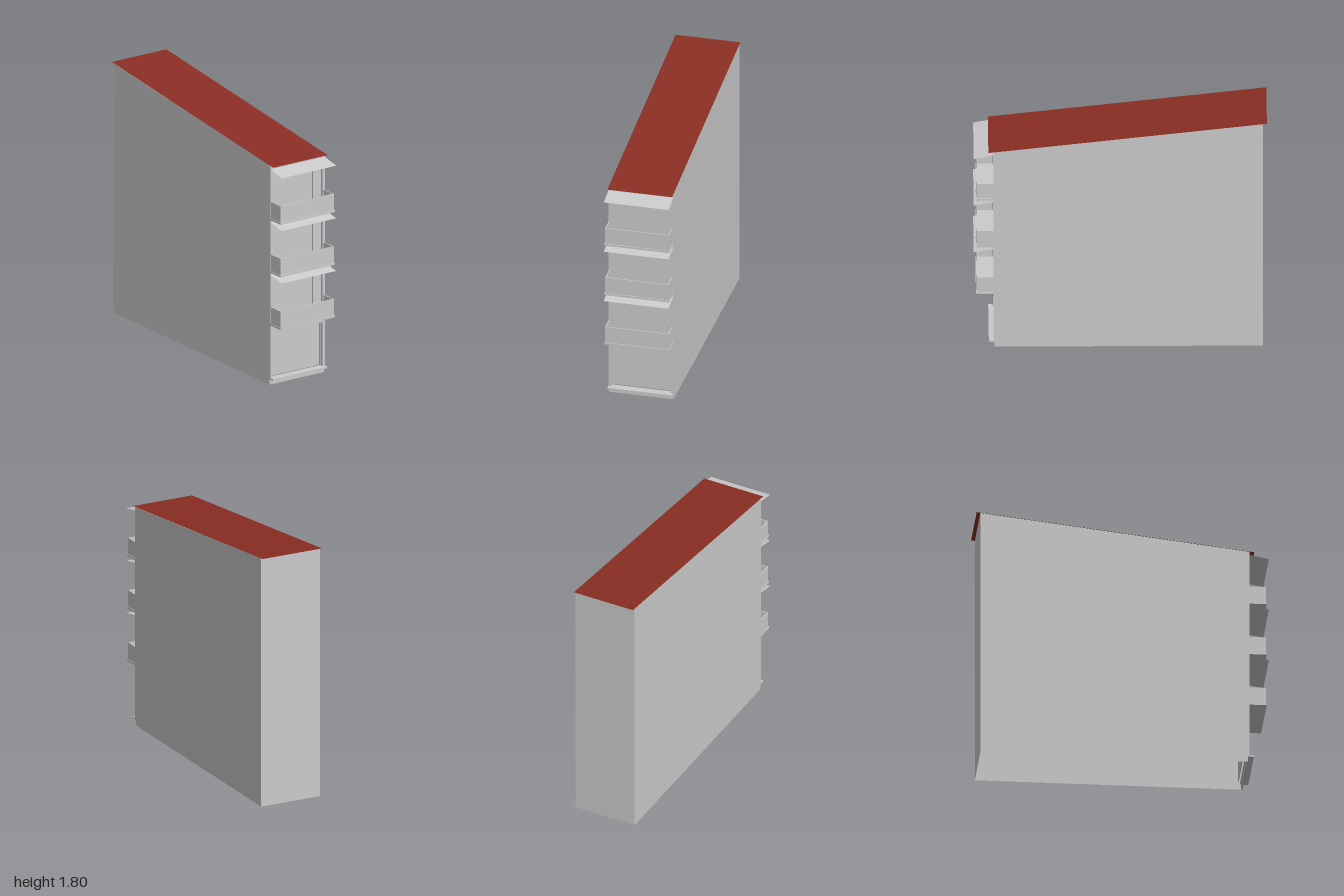
import * as THREE from 'three';

const W = 0.228;                 // half width
const FRONT = 0.866, BACK = -0.975;
const roofY = z => 1.58 + (FRONT - z) * 0.1195;

const grey = new THREE.MeshStandardMaterial({ color: 0xcccccc, flatShading: true, side: THREE.DoubleSide });
const red = new THREE.MeshStandardMaterial({ color: 0x8b2e24, flatShading: true, side: THREE.DoubleSide });

function add(parent, name, geometry, material = grey) {
  const mesh = new THREE.Mesh(geometry, material);
  mesh.name = name;
  parent.add(mesh);
  return mesh;
}

// Box given by its limits
function box(parent, name, x0, x1, y0, y1, z0, z1) {
  const mesh = add(parent, name, new THREE.BoxGeometry(x1 - x0, y1 - y0, z1 - z0));
  mesh.position.set((x0 + x1) / 2, (y0 + y1) / 2, (z0 + z1) / 2);
  return mesh;
}

// Thin sheet across the full width, from a back edge to a front edge
function sheet(parent, name, yBack, zBack, yFront, zFront, material) {
  const g = new THREE.PlaneGeometry(2 * W, 1);
  const p = g.attributes.position;
  for (let i = 0; i < 4; i++) {
    const back = p.getY(i) > 0;
    p.setY(i, back ? yBack : yFront);
    p.setZ(i, back ? zBack : zFront);
  }
  g.computeVertexNormals();
  return add(parent, name, g, material);
}

function rectPath(path, x0, x1, y0, y1) {
  path.moveTo(x0, y0);
  path.lineTo(x1, y0);
  path.lineTo(x1, y1);
  path.lineTo(x0, y1);
  path.closePath();
  return path;
}

export function createModel() {
  const house = new THREE.Group();
  house.name = 'townhouse';

  // Side walls with the sloping top, open underneath
  const side = new THREE.Shape();
  side.moveTo(-0.857, 0);
  side.lineTo(-BACK, 0);
  side.lineTo(-BACK, roofY(BACK));
  side.lineTo(-0.857, roofY(0.857));
  side.closePath();
  for (const s of [-1, 1]) {
    const wall = add(house, s > 0 ? 'leftWall' : 'rightWall', new THREE.ShapeGeometry(side));
    wall.rotation.y = Math.PI / 2;
    wall.position.x = s * W;
  }
  sheet(house, 'backWall', roofY(BACK), BACK, 0, BACK);

  // Single-pitch roof, overhanging at the front and back
  sheet(house, 'roof', roofY(-1) + 0.002, -1, roofY(0.9) + 0.002, 0.9, red);

  // Recessed front wall with openings for the garage and the doors
  const floors = [0.43, 0.81, 1.19];
  const face = rectPath(new THREE.Shape(), -W, W, 0.04, 1.58);
  face.holes.push(rectPath(new THREE.Path(), -0.205, 0.205, 0.05, 0.36));
  for (const y of floors)
    face.holes.push(rectPath(new THREE.Path(), -0.142, 0.142, y + 0.02, y + 0.315));
  const facade = add(house, 'frontWall', new THREE.ExtrudeGeometry(face, { depth: 0.01, bevelEnabled: false }));
  facade.position.z = 0.84;

  // Front frame: base, sill, corner posts and top beam
  box(house, 'base', -W, W, 0, 0.04, 0.847, 0.857);
  box(house, 'sill', -W, W, 0.038, 0.05, 0.84, 0.897);
  for (const s of [-1, 1])
    box(house, 'cornerPost', s * 0.218 - 0.01, s * 0.218 + 0.01, 0.05, 1.58, 0.84, FRONT);
  box(house, 'topBeam', -W, W, 1.55, 1.58, 0.84, FRONT);
  box(house, 'garageBeam', -W, W, 0.367, 0.43, 0.84, FRONT);
  box(house, 'garageDoor', -0.205, 0.205, 0.05, 0.36, 0.825, 0.83);

  // Each upper floor: door, lintel, balcony and awning
  for (const y of floors) {
    const storey = new THREE.Group();
    storey.name = 'upperFloor';
    house.add(storey);
    box(storey, 'door', -0.142, 0.142, y + 0.02, y + 0.315, 0.828, 0.833);
    box(storey, 'lintel', -0.148, 0.145, y + 0.315, y + 0.33, 0.85, 0.87);

    const balcony = new THREE.Group();
    balcony.name = 'balcony';
    storey.add(balcony);
    box(balcony, 'balconyFloor', -W, W, y, y + 0.014, 0.85, 0.985);
    box(balcony, 'balconyFront', -0.224, 0.224, y + 0.014, y + 0.132, 0.972, 0.979);
    for (const s of [-1, 1])
      box(balcony, 'balconySide', s * 0.2205 - 0.0035, s * 0.2205 + 0.0035, y + 0.014, y + 0.132, 0.86, 0.972);

    sheet(storey, 'awning', y + 0.367, FRONT, y + 0.34, 1);
  }
  return house;
}
